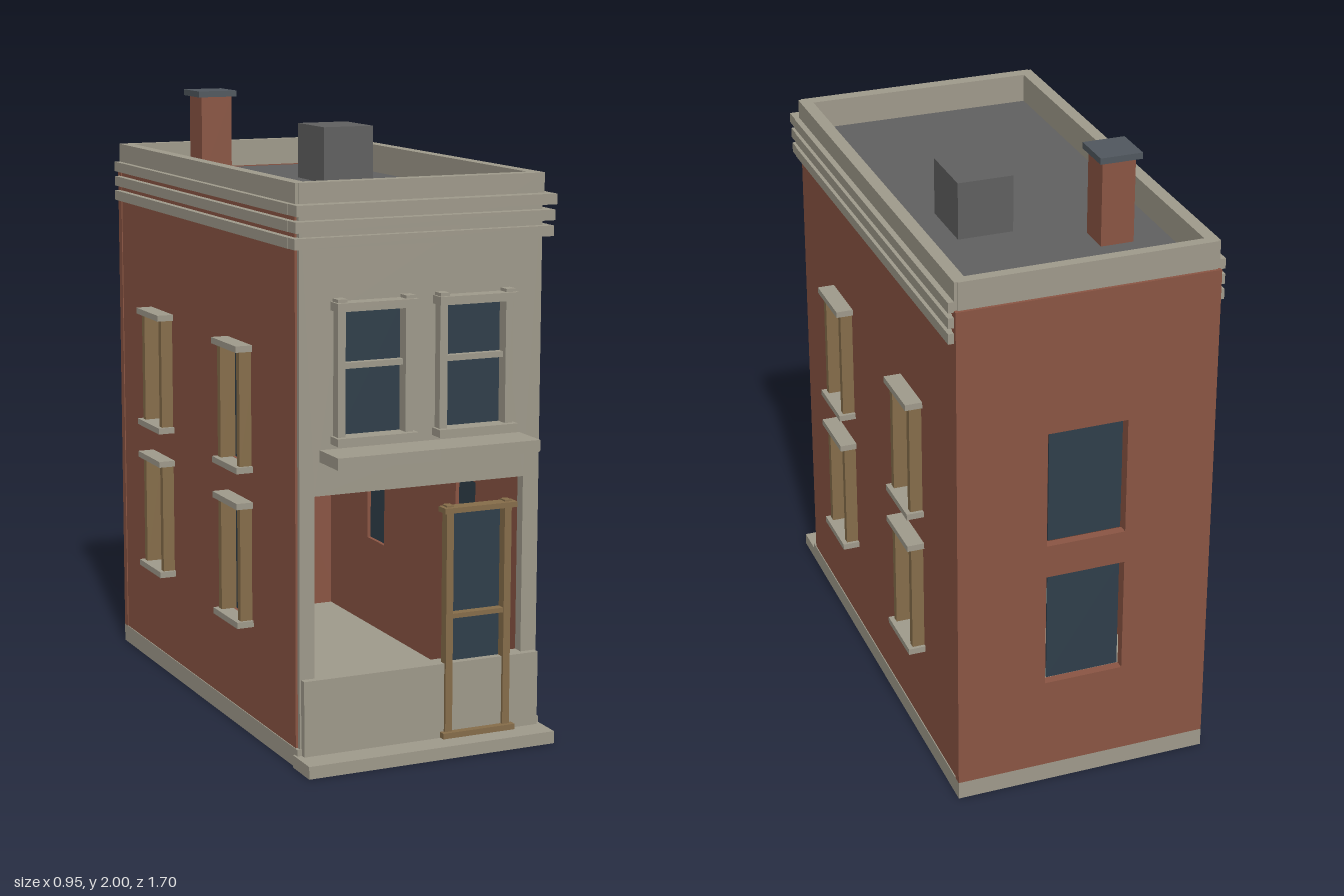
import * as THREE from 'three';

const mat = (name, color, side = THREE.FrontSide) => {
  const m = new THREE.MeshStandardMaterial({ color, side });
  m.name = name;
  return m;
};

export function createModel() {
  const model = new THREE.Group();
  model.name = 'townhouse';
  const brick = mat('brick', 0x8a5543);
  const stone = mat('stone', 0x9f9a8b);
  const wood = mat('wood', 0x866d4a);
  const glass = mat('glass', 0x2f3e4a, THREE.DoubleSide);
  const roofing = mat('roofing', 0x606060);
  const capping = mat('chimney cap', 0x50575e);

  // Box given by its limits on each axis
  const box = (name, m, x0, x1, y0, y1, z0, z1, parent = model) => {
    const mesh = new THREE.Mesh(new THREE.BoxGeometry(x1 - x0, y1 - y0, z1 - z0), m);
    mesh.position.set((x0 + x1) / 2, (y0 + y1) / 2, (z0 + z1) / 2);
    mesh.name = name;
    parent.add(mesh);
    return mesh;
  };
  const trace = (path, [x0, x1, y0, y1]) =>
    path.moveTo(x0, y0).lineTo(x1, y0).lineTo(x1, y1).lineTo(x0, y1).closePath();
  // Wall facing +z with rectangular openings
  const wall = (name, m, outline, openings, depth) => {
    const shape = new THREE.Shape();
    trace(shape, outline);
    for (const o of openings) {
      const hole = new THREE.Path();
      trace(hole, o);
      shape.holes.push(hole);
    }
    const mesh = new THREE.Mesh(new THREE.ExtrudeGeometry(shape, { depth, bevelEnabled: false }), m);
    mesh.name = name;
    model.add(mesh);
    return mesh;
  };

  const rows = [[0.38, 0.75], [0.88, 1.25]];
  const sideCentres = [0.265, -0.427];

  // Foundation and front step
  box('foundation', stone, -0.42, 0.42, 0, 0.06, -0.845, 0.72);
  box('frontStep', stone, -0.427, 0.42, 0, 0.04, 0.7, 0.825);

  // Stone facade with shop opening and two upper windows
  wall('facade', stone, [-0.41, 0.41, 0.06, 1.8],
    [[-0.36, 0.355, 0.28, 0.85], [-0.28, -0.065, 1.025, 1.42], [0.065, 0.275, 1.025, 1.42]], 0.035)
    .position.z = 0.68;
  box('shopPlinth', stone, -0.405, 0.405, 0.04, 0.28, 0.71, 0.738);

  // Back wall with two recessed windows
  wall('backWall', brick, [-0.42, 0.42, 0.06, 1.71],
    rows.map(([a, b]) => [-0.13, 0.13, a - 0.01, b + 0.01]), 0.03).position.z = -0.845;
  for (const [a, b] of rows) box('backGlass', glass, -0.12, 0.12, a, b, -0.828, -0.822);

  // Brick side walls, with framed windows and cornice bands
  const openings = sideCentres.flatMap(c => rows.map(([a, b]) => [-c - 0.07, -c + 0.07, a, b]));
  for (const s of [-1, 1]) {
    const side = wall('sideWall', brick, [-0.7, 0.83, 0.06, 1.71], openings, 0.03);
    side.rotation.y = Math.PI / 2;
    side.position.x = s > 0 ? 0.387 : -0.417;
    // Box on one side, measured outwards from the centre
    const out = (name, m, near, far, y0, y1, z0, z1) =>
      box(name, m, Math.min(s * near, s * far), Math.max(s * near, s * far), y0, y1, z0, z1);
    for (const c of sideCentres) for (const [a, b] of rows) {
      out('sideGlass', glass, 0.4, 0.406, a, b, c - 0.07, c + 0.07);
      for (const e of [-1, 1])
        out('sideCasing', wood, 0.4, 0.457, a, b, c + e * 0.08 - 0.012, c + e * 0.08 + 0.012);
      out('sideSill', stone, 0.4, 0.473, a - 0.02, a, c - 0.103, c + 0.103);
      out('sideLintel', stone, 0.4, 0.473, b - 0.005, b + 0.015, c - 0.103, c + 0.103);
    }
    for (const [y0, y1] of [[1.605, 1.638], [1.655, 1.688], [1.705, 1.738]])
      out('sideCornice', stone, 0.4, 0.438, y0, y1, -0.83, 0.695);
    out('sideParapet', stone, 0.378, 0.419, 1.705, 1.8, -0.83, 0.71);
  }

  // Front cornice bands, stepping outwards
  [[1.605, 1.638, 0.742], [1.655, 1.688, 0.75], [1.705, 1.738, 0.76]].forEach(([y0, y1, z]) =>
    box('frontCornice', stone, -0.436, 0.436, y0, y1, 0.695, z));

  // Roof, back parapet, hatch and chimney
  box('backParapet', stone, -0.41, 0.41, 1.71, 1.8, -0.835, -0.8);
  box('roof', roofing, -0.39, 0.39, 1.67, 1.705, -0.82, 0.685);
  box('roofHatch', roofing, 0.055, 0.235, 1.7, 1.89, -0.355, -0.14);
  box('chimney', brick, -0.26, -0.152, 1.7, 1.98, -0.555, -0.445);
  box('chimneyCap', capping, -0.275, -0.138, 1.98, 2, -0.572, -0.432);
  box('frontParapet', stone, -0.41, 0.41, 1.7, 1.8, 0.67, 0.69);

  // Upper front windows
  for (const c of [-0.172, 0.17]) {
    const win = new THREE.Group();
    win.name = 'frontWindow';
    win.position.x = c;
    model.add(win);
    box('pane', glass, -0.105, 0.105, 1.025, 1.42, 0.7, 0.706, win);
    box('meetingRail', stone, -0.105, 0.105, 1.237, 1.255, 0.7, 0.73, win);
    for (const e of [-1, 1]) {
      box('casing', stone, e * 0.113 - 0.013, e * 0.113 + 0.013, 1.005, 1.45, 0.7, 0.748, win);
      box('lintelBlock', stone, e * 0.113 - 0.016, e * 0.113 + 0.016, 1.44, 1.452, 0.7, 0.755, win);
    }
    box('lintel', stone, -0.135, 0.135, 1.416, 1.442, 0.7, 0.768, win);
    box('sill', stone, -0.135, 0.135, 1.008, 1.032, 0.7, 0.768, win);
  }
  // Ledge over the shop front, in two slabs
  box('ledge', stone, -0.343, 0, 0.955, 0.992, 0.7, 0.85);
  box('ledge', stone, 0, 0.34, 0.955, 0.992, 0.7, 0.85);

  // Door: glazed panel behind a wooden frame
  box('doorGlass', glass, 0.09, 0.29, 0.28, 0.77, 0.708, 0.714);
  for (const x of [0.085, 0.287])
    box('doorPost', wood, x - 0.012, x + 0.012, 0.045, 0.787, 0.715, 0.748);
  box('doorRail', wood, 0.09, 0.285, 0.425, 0.44, 0.715, 0.745);
  box('doorHeader', wood, 0.06, 0.312, 0.765, 0.782, 0.715, 0.762);
  box('doorThreshold', wood, 0.06, 0.312, 0.042, 0.06, 0.715, 0.762);

  return model;
}
